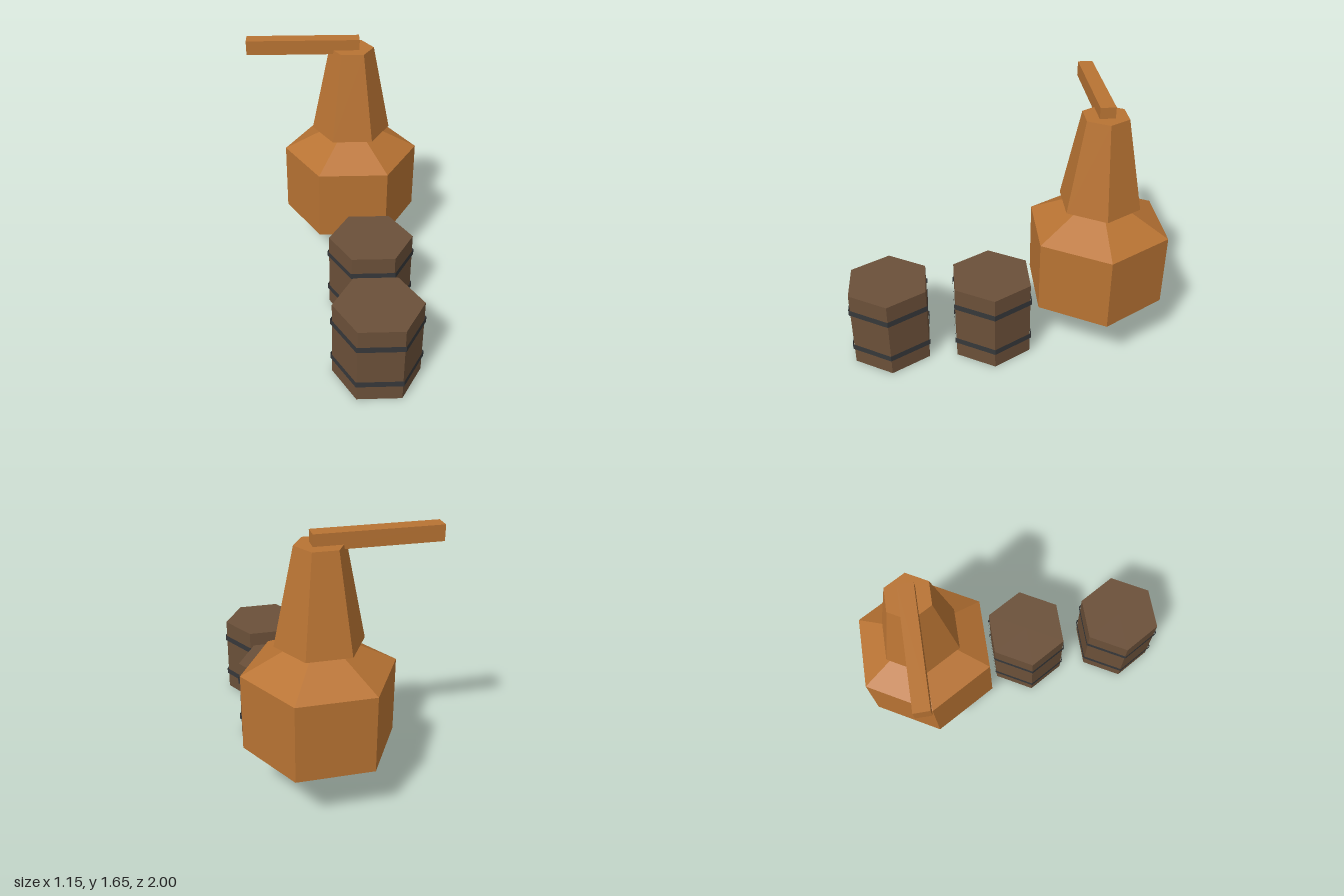
import * as THREE from 'three';

const copper = new THREE.MeshStandardMaterial({ name: 'copper', color: 0xb87333, flatShading: true });
const wood = new THREE.MeshStandardMaterial({ name: 'darkWood', color: 0x6b5039, flatShading: true });
const iron = new THREE.MeshStandardMaterial({ name: 'bandIron', color: 0x36383a, flatShading: true, side: THREE.DoubleSide });

// Six-sided prism or frustum with corners on the x axis, from y0 to y1
function hexPart(name, rTop, rBottom, y0, y1, material, open = false) {
  const geometry = new THREE.CylinderGeometry(rTop, rBottom, y1 - y0, 6, 1, open);
  geometry.rotateY(Math.PI / 2);
  const mesh = new THREE.Mesh(geometry, material);
  mesh.name = name;
  mesh.position.y = (y0 + y1) / 2;
  return mesh;
}

function createStill() {
  const still = new THREE.Group();
  still.name = 'still';

  // Pot: straight wall closed by a shallow cone above and below
  const profile = [[0, 0.11], [0.46, 0.35], [0.46, 0.828], [0, 1.068]];
  const potGeometry = new THREE.LatheGeometry(profile.map(([r, y]) => new THREE.Vector2(r, y)), 6);
  potGeometry.rotateY(Math.PI / 2);
  const pot = new THREE.Mesh(potGeometry, copper);
  pot.name = 'pot';

  // Tapered neck overhanging the shoulder
  const neck = hexPart('neck', 0.147, 0.265, 0.993, 1.578, copper);

  // Square pipe reaching out to the side
  const arm = new THREE.Mesh(new THREE.BoxGeometry(0.74, 0.095, 0.095), copper);
  arm.name = 'pipeArm';
  arm.position.set(-0.32, 1.6, 0);

  still.add(pot, neck, arm);
  still.position.set(0.115, 0, -0.601);
  return still;
}

function createBarrel(name, z) {
  const barrel = new THREE.Group();
  barrel.name = name;
  barrel.add(hexPart('barrelBody', 0.276, 0.276, 0, 0.535, wood));
  // Open hoops around the staves
  for (const y of [0.13, 0.408]) {
    barrel.add(hexPart('hoop', 0.286, 0.286, y - 0.02, y + 0.02, iron, true));
  }
  barrel.position.set(0.22, 0, z);
  return barrel;
}

export function createModel() {
  const model = new THREE.Group();
  model.name = 'distillery';
  model.add(createStill(), createBarrel('rearBarrel', 0.091), createBarrel('frontBarrel', 0.752));
  return model;
}
